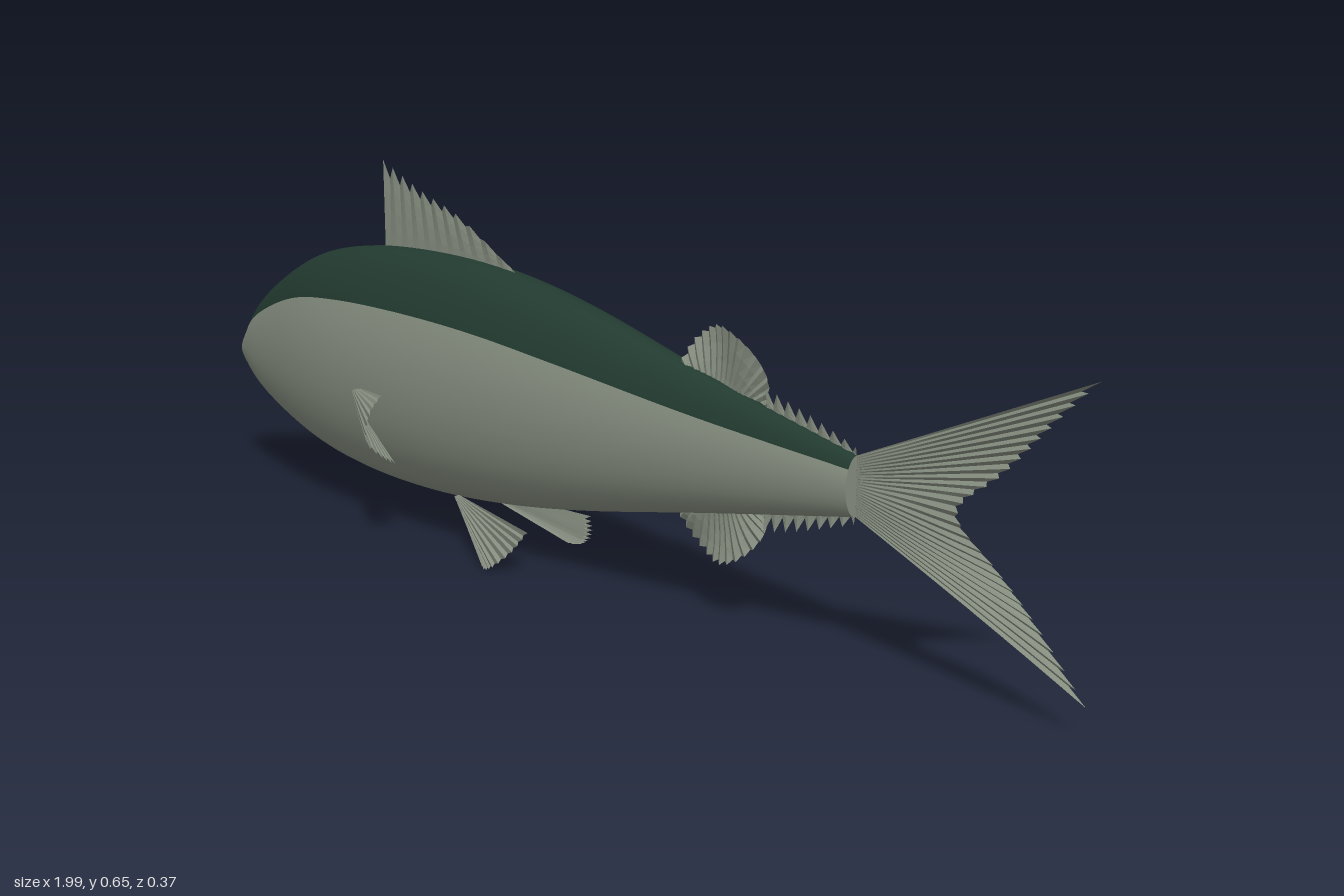
import * as THREE from 'three';

const V = (x, y, z = 0) => new THREE.Vector3(x, y, z);
const curve = (pts, type = 'catmullrom') => new THREE.CatmullRomCurve3(pts.map(p => V(...p)), false, type);

// Stations along the body: x, top, bottom, half width, height of the colour line
const STATIONS = [
  [-1, 0.243, 0.243, 0, 0.243],
  [-0.985, 0.272, 0.22, 0.014, 0.271],
  [-0.9, 0.365, 0.165, 0.045, 0.328],
  [-0.74, 0.458, 0.11, 0.083, 0.386],
  [-0.58, 0.497, 0.083, 0.105, 0.408],
  [-0.39, 0.509, 0.078, 0.113, 0.413],
  [-0.2, 0.5, 0.092, 0.108, 0.405],
  [0, 0.465, 0.122, 0.091, 0.382],
  [0.28, 0.394, 0.178, 0.056, 0.342],
  [0.57, 0.328, 0.234, 0.024, 0.31],
];

// Body of elliptical rings, with one material group above the colour line and one below
function bodyGeometry() {
  const outline = curve(STATIONS.map(s => [s[0], s[1], s[2]]));
  const sides = curve(STATIONS.map(s => [s[0], s[3], s[4]]));
  const rings = 72, half = 22, around = half * 2;
  const pos = [], index = [];
  for (let i = 0; i <= rings; i++) {
    const o = outline.getPoint(i / rings), s = sides.getPoint(i / rings);
    const mid = (o.y + o.z) / 2, h = Math.max((o.y - o.z) / 2, 0), w = Math.max(s.y, 0);
    const a = h > 1e-4 ? Math.asin(THREE.MathUtils.clamp((s.z - mid) / h, -0.95, 0.97)) : 0.8;
    for (let j = 0; j < around; j++) {
      const t = j < half
        ? a + (Math.PI - 2 * a) * j / half
        : Math.PI - a + (Math.PI + 2 * a) * (j - half) / half;
      pos.push(o.x, mid + h * Math.sin(t), w * Math.cos(t));
    }
  }
  const g = new THREE.BufferGeometry();
  for (let part = 0; part < 2; part++) {
    const start = index.length;
    for (let i = 0; i < rings; i++) {
      for (let j = part * half; j < (part + 1) * half; j++) {
        const k = (j + 1) % around, p = i * around, q = p + around;
        index.push(p + j, q + j, p + k, q + j, q + k, p + k);
      }
    }
    g.addGroup(start, index.length - start, part);
  }
  g.setAttribute('position', new THREE.Float32BufferAttribute(pos, 3));
  g.setIndex(index);
  g.computeVertexNormals();
  return g;
}

// Pleated fin between a base line and a ragged outer edge
function finGeometry(base, edge, { rays = 20, notch = 0.1, pleat = 0.003, wave = 0, axis = V(0, 0, 1) } = {}) {
  const inner = curve(base), outer = curve(edge, 'centripetal');
  const n = rays * 2, rows = 4, grid = [];
  for (let i = 0; i <= n; i++) {
    const t = i / n, a = inner.getPoint(t), b = outer.getPoint(t);
    if (i % 2) b.lerp(a, notch);
    const column = [];
    for (let r = 0; r <= rows; r++) {
      const u = r / rows;
      const shift = u * (pleat * (i % 2 ? -1 : 1) + wave * Math.sin(t * 11 + u * 2));
      column.push(a.clone().lerp(b, u).addScaledVector(axis, shift));
    }
    grid.push(column);
  }
  const pts = [];
  for (let i = 0; i < n; i++) {
    for (let r = 0; r < rows; r++) {
      const a = grid[i][r], b = grid[i + 1][r], c = grid[i + 1][r + 1], d = grid[i][r + 1];
      pts.push(a, b, c, a, c, d);
    }
  }
  const g = new THREE.BufferGeometry().setFromPoints(pts);
  g.computeVertexNormals();
  return g;
}

export function createModel() {
  const silver = new THREE.MeshStandardMaterial({ color: 0x868e80, side: THREE.DoubleSide });
  silver.name = 'silver grey';
  const green = new THREE.MeshStandardMaterial({ color: 0x223a30 });
  green.name = 'dark green';

  const fish = new THREE.Group();
  fish.name = 'fish';
  const add = (name, geometry, material = silver) => {
    const mesh = new THREE.Mesh(geometry, material);
    mesh.name = name;
    fish.add(mesh);
    return mesh;
  };

  add('body', bodyGeometry(), [green, silver]);

  // End of the tail stem, one half of each colour
  [[green, 0, 'stemEndRight'], [silver, Math.PI, 'stemEndLeft']].forEach(([mat, start, name]) => {
    const cap = add(name, new THREE.CircleGeometry(1, 20, start - Math.PI / 2, Math.PI), mat);
    cap.scale.set(0.024, 0.047, 1);
    cap.rotation.y = Math.PI / 2;
    cap.position.set(0.57, 0.281, 0);
  });

  // Fins on the centre line
  add('dorsalFin', finGeometry(
    [[-0.54, 0.49], [-0.36, 0.5], [-0.18, 0.492]],
    [[-0.54, 0.657], [-0.44, 0.615], [-0.33, 0.578], [-0.18, 0.496]],
    { rays: 11, notch: 0.17, pleat: 0.002 }));
  add('rearDorsalFin', finGeometry(
    [[0.24, 0.38], [0.3, 0.37], [0.36, 0.36]],
    [[0.205, 0.4], [0.235, 0.455], [0.29, 0.483], [0.35, 0.462], [0.385, 0.41], [0.39, 0.355]],
    { rays: 16, notch: 0.06, wave: 0.008 }));
  add('analFin', finGeometry(
    [[0.24, 0.19], [0.3, 0.2], [0.36, 0.21]],
    [[0.205, 0.175], [0.235, 0.125], [0.29, 0.098], [0.35, 0.12], [0.385, 0.165], [0.39, 0.205]],
    { rays: 16, notch: 0.06, wave: 0.008 }));
  add('upperFinlets', finGeometry(
    [[0.39, 0.36], [0.48, 0.34], [0.57, 0.318]],
    [[0.39, 0.4], [0.48, 0.373], [0.57, 0.342]],
    { rays: 8, notch: 0.6 }));
  add('lowerFinlets', finGeometry(
    [[0.39, 0.21], [0.48, 0.225], [0.57, 0.245]],
    [[0.39, 0.17], [0.48, 0.193], [0.57, 0.222]],
    { rays: 8, notch: 0.6 }));

  // Forked tail
  add('tailFin', finGeometry(
    [[0.565, 0.326], [0.57, 0.281], [0.565, 0.236]],
    [[0.99, 0.512], [0.9, 0.425], [0.83, 0.35], [0.765, 0.284], [0.83, 0.215], [0.9, 0.143], [0.99, 0.056]],
    { rays: 26, notch: 0.06, wave: 0.008 }));

  // Paired fins, left and right
  for (const [side, s] of [['left', 1], ['right', -1]]) {
    const flip = pts => pts.map(([x, y, z]) => [x, y, z * s]);
    add(side + 'PectoralFin', finGeometry(
      flip([[-0.5, 0.265, 0.105], [-0.515, 0.255, 0.105], [-0.5, 0.235, 0.107]]),
      flip([[-0.4, 0.268, 0.125], [-0.375, 0.245, 0.17], [-0.37, 0.2, 0.182], [-0.375, 0.165, 0.145], [-0.387, 0.143, 0.106]]),
      { rays: 12, notch: 0.08, pleat: 0.005, axis: V(0.5, 0.3, 0.5 * s) }));
    add(side + 'PelvicFin', finGeometry(
      flip([[-0.31, 0.09, 0.028], [-0.32, 0.085, 0.03], [-0.31, 0.08, 0.032]]),
      flip([[-0.078, 0.078, 0.07], [-0.095, 0.045, 0.09], [-0.125, 0.015, 0.108], [-0.15, 0.005, 0.106], [-0.18, 0.022, 0.09]]),
      { rays: 12, notch: 0.06, pleat: 0.004, axis: V(0, 0.6, 0.6 * s) }));
  }
  return fish;
}
